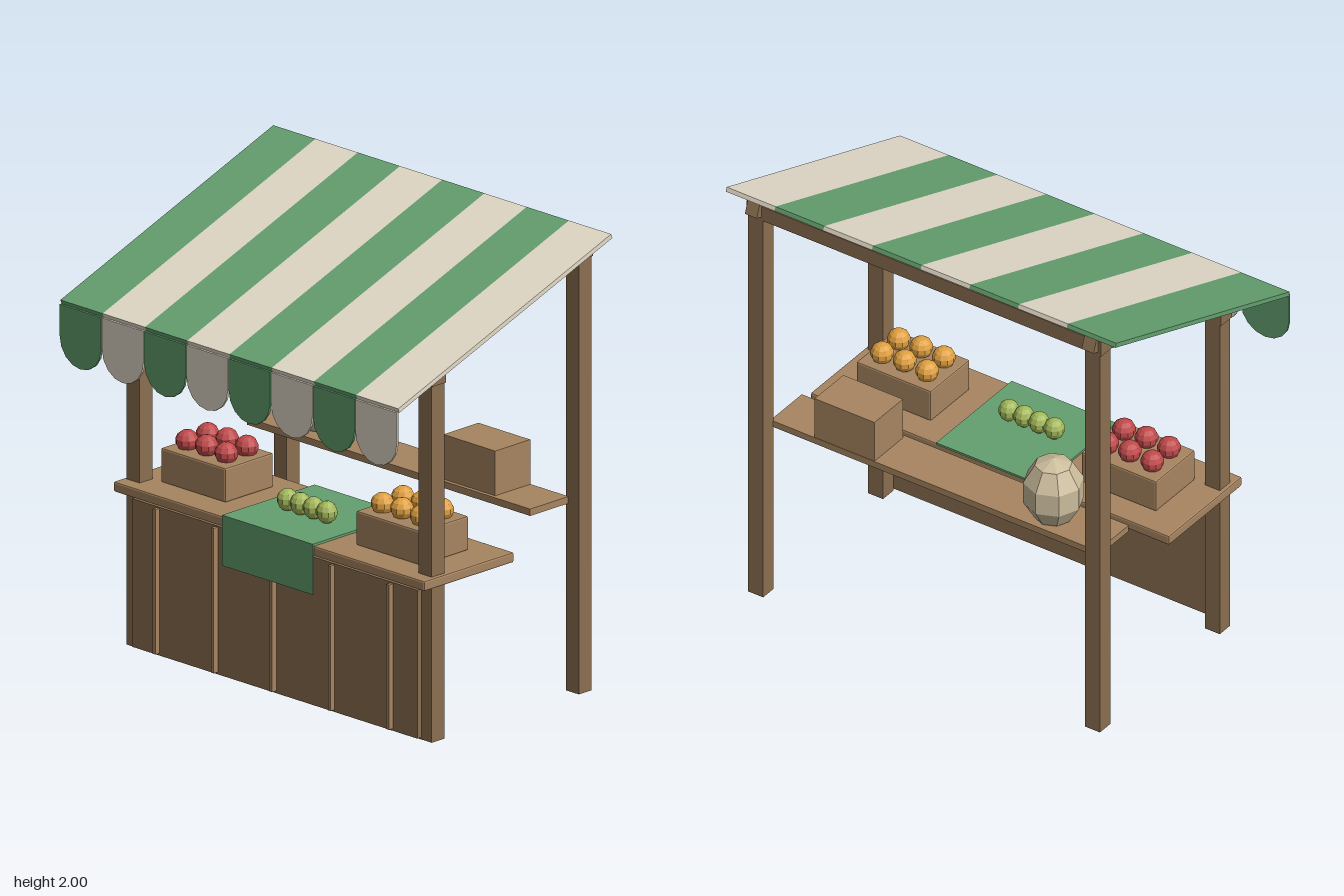
import * as THREE from 'three';
import { RoundedBoxGeometry } from 'three/addons/geometries/RoundedBoxGeometry.js';

const paint = (color) => new THREE.MeshStandardMaterial({ color, flatShading: true });

export function createModel() {
  const stall = new THREE.Group();
  stall.name = 'marketStall';
  const wood = paint(0x8b6f51), paleWood = paint(0xa78560), green = paint(0x64a06f), cream = paint(0xe3dac8);
  const sackCloth = paint(0xcbbc9c), red = paint(0xc0494a), orange = paint(0xdfa040), lime = paint(0xa3b85a);

  function add(name, geometry, material, x, y, z, parent = stall) {
    const mesh = new THREE.Mesh(geometry, material);
    mesh.name = name;
    mesh.position.set(x, y, z);
    parent.add(mesh);
    return mesh;
  }
  const box = (name, w, h, d, material, x, y, z, parent) =>
    add(name, new THREE.BoxGeometry(w, h, d), material, x, y, z, parent);
  const bevelBox = (name, w, h, d, material, x, y, z, parent) =>
    add(name, new RoundedBoxGeometry(w, h, d, 1, 0.008), material, x, y, z, parent);

  // Frame: posts, cross beams and sloping rafters
  const slope = THREE.MathUtils.degToRad(20.1);
  for (const x of [-0.845, 0.845]) {
    box('frontPost', 0.075, 1.6, 0.075, wood, x, 0.8, 0.297);
    box('backPost', 0.075, 1.93, 0.075, wood, x, 0.965, -0.563);
    box('rafter', 0.06, 0.06, 1.32, wood, x, 1.72, -0.005).rotation.x = slope;
  }
  box('frontBeam', 1.78, 0.07, 0.078, wood, 0, 1.585, 0.297);
  box('backBeam', 1.78, 0.07, 0.078, wood, 0, 1.925, -0.563);

  // Striped awning with a scalloped valance
  const awning = new THREE.Group();
  awning.name = 'awning';
  stall.add(awning);
  const stripe = 1.955 / 8, half = stripe / 2 - 0.002;
  const scallop = new THREE.Shape();
  scallop.moveTo(-half, 1.53);
  for (let i = 0; i <= 8; i++) {
    const a = Math.PI + (Math.PI * i) / 8;
    scallop.lineTo(Math.cos(a) * half, 1.395 + Math.sin(a) * 0.12);
  }
  scallop.lineTo(half, 1.53);
  const flap = new THREE.ExtrudeGeometry(scallop, { depth: 0.01, bevelEnabled: false });
  for (let i = 0; i < 8; i++) {
    const x = (i - 3.5) * stripe, material = i % 2 ? cream : green;
    box('awningStripe', stripe, 0.02, 1.325, material, x, 1.765, 0, awning).rotation.x = slope;
    add('valanceFlap', flap, material, x, 0, 0.622, awning);
  }

  // Counter with battened front panel
  bevelBox('counterTop', 1.8, 0.045, 0.525, paleWood, 0, 0.6975, 0.1325);
  box('frontPanel', 1.65, 0.645, 0.025, wood, 0, 0.3325, 0.347);
  for (let i = -2; i <= 2; i++) box('batten', 0.016, 0.63, 0.025, paleWood, i * 0.338, 0.335, 0.371);

  // Cloth runner over the counter
  box('clothTop', 0.525, 0.01, 0.54, green, 0, 0.725, 0.132);
  box('clothDrop', 0.525, 0.22, 0.008, green, 0, 0.62, 0.399);

  // Fruit and the crates holding it
  const fruitShape = new THREE.SphereGeometry(0.05, 10, 7);
  function crate(x, material) {
    const group = new THREE.Group();
    group.name = 'fruitCrate';
    group.position.set(x, 0, 0.125);
    stall.add(group);
    bevelBox('crate', 0.375, 0.15, 0.28, paleWood, 0, 0.795, 0, group);
    for (const z of [-0.06, 0.06])
      for (const i of [-1, 0, 1])
        add('fruit', fruitShape, material, i * 0.113, i ? 0.9 : 0.905, z, group).scale.y = 0.95;
  }
  crate(-0.567, red);
  crate(0.563, orange);
  for (let i = 0; i < 4; i++)
    add('greenFruit', fruitShape, lime, -0.115 + i * 0.076, 0.777, 0.17).scale.set(0.9, 0.96, 0.9);

  // Back shelf with a box and a round sack
  box('backShelf', 1.64, 0.03, 0.225, paleWood, 0, 0.83, -0.417);
  box('shelfBox', 0.3, 0.195, 0.205, paleWood, 0.45, 0.942, -0.425);
  add('sack', new THREE.SphereGeometry(0.134, 8, 5), sackCloth, -0.53, 0.98, -0.43).scale.y = 1.2;

  return stall;
}
